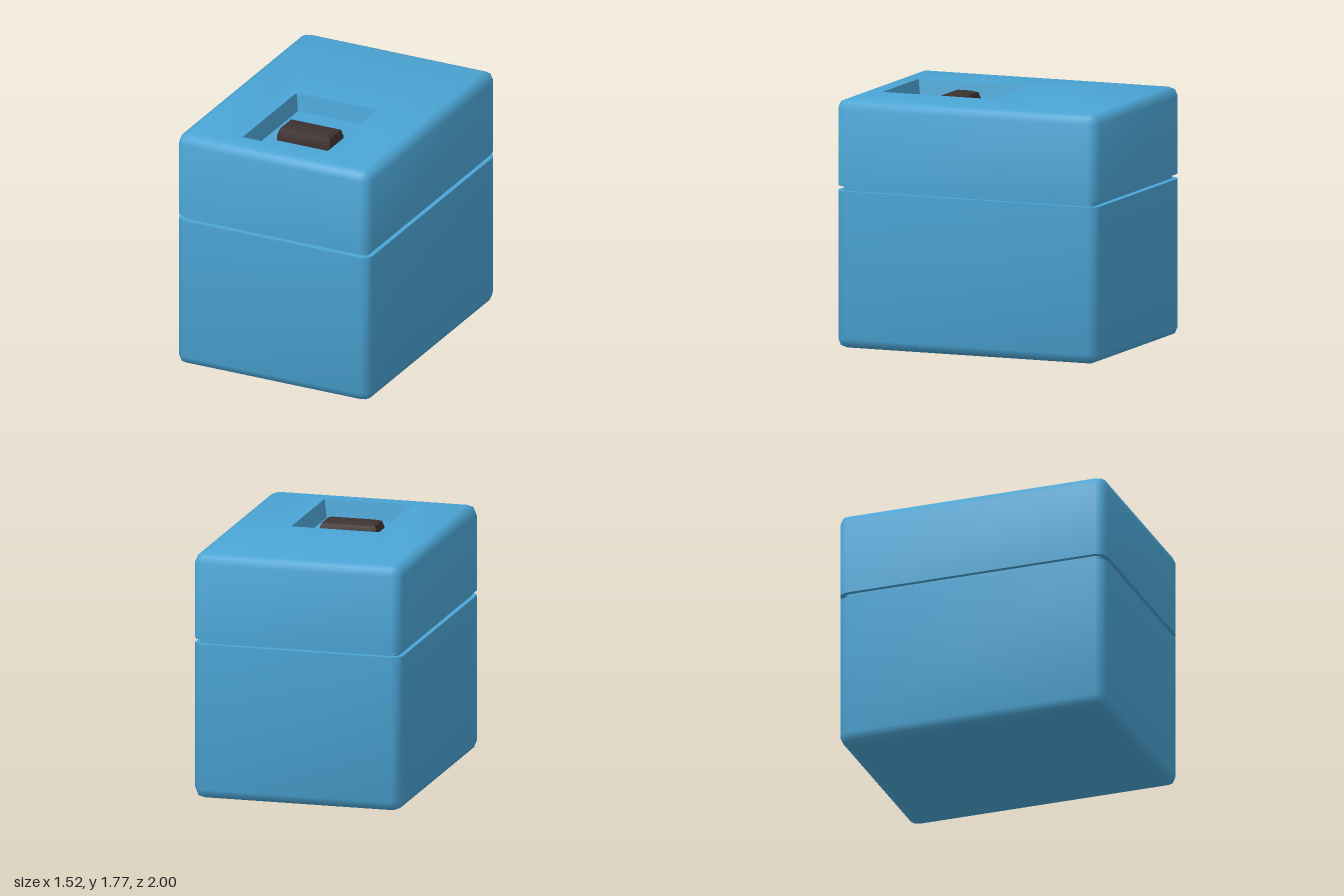
import * as THREE from 'three';
import { toCreasedNormals } from 'three/addons/utils/BufferGeometryUtils.js';

// Horizontal rectangle with bevelled corners (three points per corner)
function ring(y, hx, hz, r = 0, cz = 0) {
  const points = [];
  [[1, 1], [-1, 1], [-1, -1], [1, -1]].forEach(([sx, sz], corner) => {
    for (let k = 0; k < 3; k++) {
      const a = (corner + k / 2) * Math.PI / 2;
      points.push(new THREE.Vector3(
        sx * (hx - r) + r * Math.cos(a), y, cz + sz * (hz - r) + r * Math.sin(a)));
    }
  });
  return points;
}

// Joins rings in order, skipping triangles that collapse to a line
function loft(rings, crease = 0.9) {
  const pos = [];
  const tri = new THREE.Triangle();
  const add = (a, b, c) => {
    if (tri.set(a, b, c).getArea() > 1e-8) pos.push(...a, ...b, ...c);
  };
  for (let i = 0; i + 1 < rings.length; i++) {
    const lo = rings[i], hi = rings[i + 1];
    for (let j = 0; j < lo.length; j++) {
      const k = (j + 1) % lo.length;
      add(lo[j], hi[j], lo[k]);
      add(hi[j], hi[k], lo[k]);
    }
  }
  const geometry = new THREE.BufferGeometry();
  geometry.setAttribute('position', new THREE.Float32BufferAttribute(pos, 3));
  return toCreasedNormals(geometry, crease);
}

export function createModel() {
  const group = new THREE.Group();
  const blue = new THREE.MeshStandardMaterial({ name: 'blue casing', color: 0x4ba5d5 });
  const brown = new THREE.MeshStandardMaterial({ name: 'dark brown', color: 0x3e3232 });
  const part = (name, geometry, material) => {
    const mesh = new THREE.Mesh(geometry, material);
    mesh.name = name;
    group.add(mesh);
  };

  const W = 0.76, D = 1, H = 1.77, R = 0.07;
  const mid = R * (1 - Math.SQRT1_2); // inset halfway round the bevel
  const seamLow = 1.12, seamHigh = 1.155;
  const core = (y) => ring(y, 0.727, 0.955, 0.035);

  // Lower casing and the recessed core that shows in the seam
  part('lowerCasing', loft([
    ring(0, 0, 0),
    ring(0, W - R, D - R),
    ring(mid, W - mid, D - mid, R - mid),
    ring(R, W, D, R),
    ring(seamLow, W, D, R),
    core(seamLow),
    core(seamHigh),
  ]), blue);

  // Upper casing with the rectangular pocket sunk into its top
  const pocketZ = 0.4, floorY = 1.64;
  part('upperCasing', loft([
    core(seamHigh),
    ring(seamHigh, W, D, R),
    ring(H - R, W, D, R),
    ring(H - mid, W - mid, D - mid, R - mid),
    ring(H, W - R, D - R),
    ring(H, 0.32, 0.42, 0, pocketZ),
    ring(floorY, 0.3, 0.4, 0, pocketZ),
    ring(floorY, 0, 0, 0, pocketZ),
  ]), blue);

  // Bevelled switch standing on the pocket floor
  part('switch', loft([
    ring(floorY, 0.21, 0.105, 0, pocketZ),
    ring(1.675, 0.21, 0.105, 0, pocketZ),
    ring(1.725, 0.195, 0.09, 0, pocketZ),
    ring(1.74, 0.155, 0.05, 0, pocketZ),
    ring(1.74, 0, 0, 0, pocketZ),
  ], 0.5), brown);

  return group;
}
